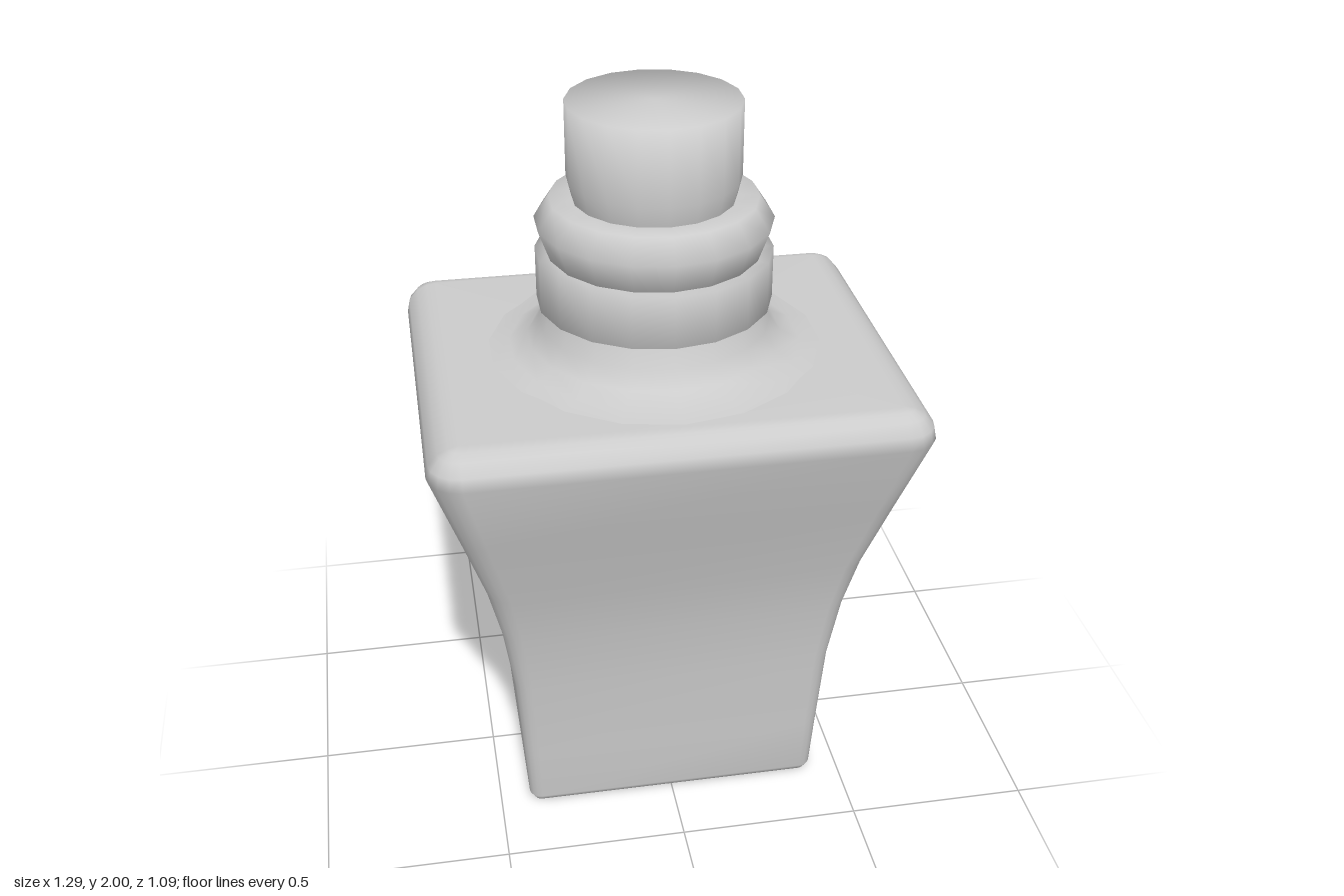
import * as THREE from 'three';

const material = new THREE.MeshStandardMaterial({ color: 0xcccccc });

function addMesh(group, name, geometry) {
  const mesh = new THREE.Mesh(geometry, material);
  mesh.name = name;
  group.add(mesh);
}

// Rounded rectangle outline: half width w, half depth d, corner radius r
function outline(w, d, r, y) {
  const points = [];
  const steps = 4;
  for (let q = 0; q < 4; q++) {
    const sx = q === 0 || q === 3 ? 1 : -1;
    const sz = q < 2 ? 1 : -1;
    for (let i = 0; i <= steps; i++) {
      const a = (q + i / steps) * Math.PI / 2;
      points.push([sx * (w - r) + r * Math.cos(a), y, sz * (d - r) + r * Math.sin(a)]);
    }
  }
  return points;
}

// Closed skin through a stack of rounded rectangles
function loft(sections) {
  const rings = sections.map(([y, w, r]) => outline(w, w - 0.1, r, y));
  const n = rings[0].length;
  const position = rings.flat(2);
  const index = [];
  for (let i = 0; i < rings.length - 1; i++) {
    for (let j = 0; j < n; j++) {
      const a = i * n + j;
      const b = i * n + (j + 1) % n;
      index.push(a, a + n, b, b, a + n, b + n);
    }
  }
  // Bottom and top fans
  const bottom = rings.length * n;
  const top = bottom + 1;
  const last = bottom - n;
  position.push(0, sections[0][0], 0, 0, sections.at(-1)[0] + 0.005, 0);
  for (let j = 0; j < n; j++) {
    const k = (j + 1) % n;
    index.push(bottom, j, k, top, last + k, last + j);
  }
  const geometry = new THREE.BufferGeometry();
  geometry.setAttribute('position', new THREE.Float32BufferAttribute(position, 3));
  geometry.setIndex(index);
  geometry.computeVertexNormals();
  return geometry;
}

// Turned part with 18 sides; profile as [radius, height] from bottom to top
function turned(profile) {
  return new THREE.LatheGeometry(profile.map(([r, y]) => new THREE.Vector2(r, y)), 18);
}

export function createModel() {
  const bottle = new THREE.Group();
  bottle.name = 'bottle';

  // Flared rectangular body: [height, half width, corner radius]
  addMesh(bottle, 'body', loft([
    [0, 0.385, 0.003],
    [0.008, 0.403, 0.02],
    [0.03, 0.417, 0.034],
    [0.2, 0.428, 0.04],
    [0.45, 0.445, 0.045],
    [0.64, 0.472, 0.05],
    [0.8, 0.508, 0.058],
    [1.02, 0.575, 0.07],
    [1.24, 0.644, 0.085],
    [1.275, 0.637, 0.078],
    [1.305, 0.612, 0.053],
    [1.318, 0.585, 0.026],
    [1.323, 0.56, 0.003],
  ]));

  // Neck flowing out of the shoulder
  addMesh(bottle, 'neckFlare', turned([
    [0.46, 1.322], [0.39, 1.332], [0.34, 1.355], [0.308, 1.4], [0.284, 1.462],
  ]));

  // Straight collar
  addMesh(bottle, 'collar', turned([
    [0.26, 1.46], [0.312, 1.46], [0.312, 1.602], [0.26, 1.602],
  ]));

  // Bulging ring
  addMesh(bottle, 'upperRing', turned([
    [0.26, 1.6], [0.282, 1.602], [0.312, 1.685], [0.272, 1.745], [0.2, 1.745],
  ]));

  // Closed stem
  addMesh(bottle, 'stem', turned([
    [0.212, 1.74], [0.226, 1.8], [0.226, 2], [0, 2],
  ]));

  return bottle;
}
